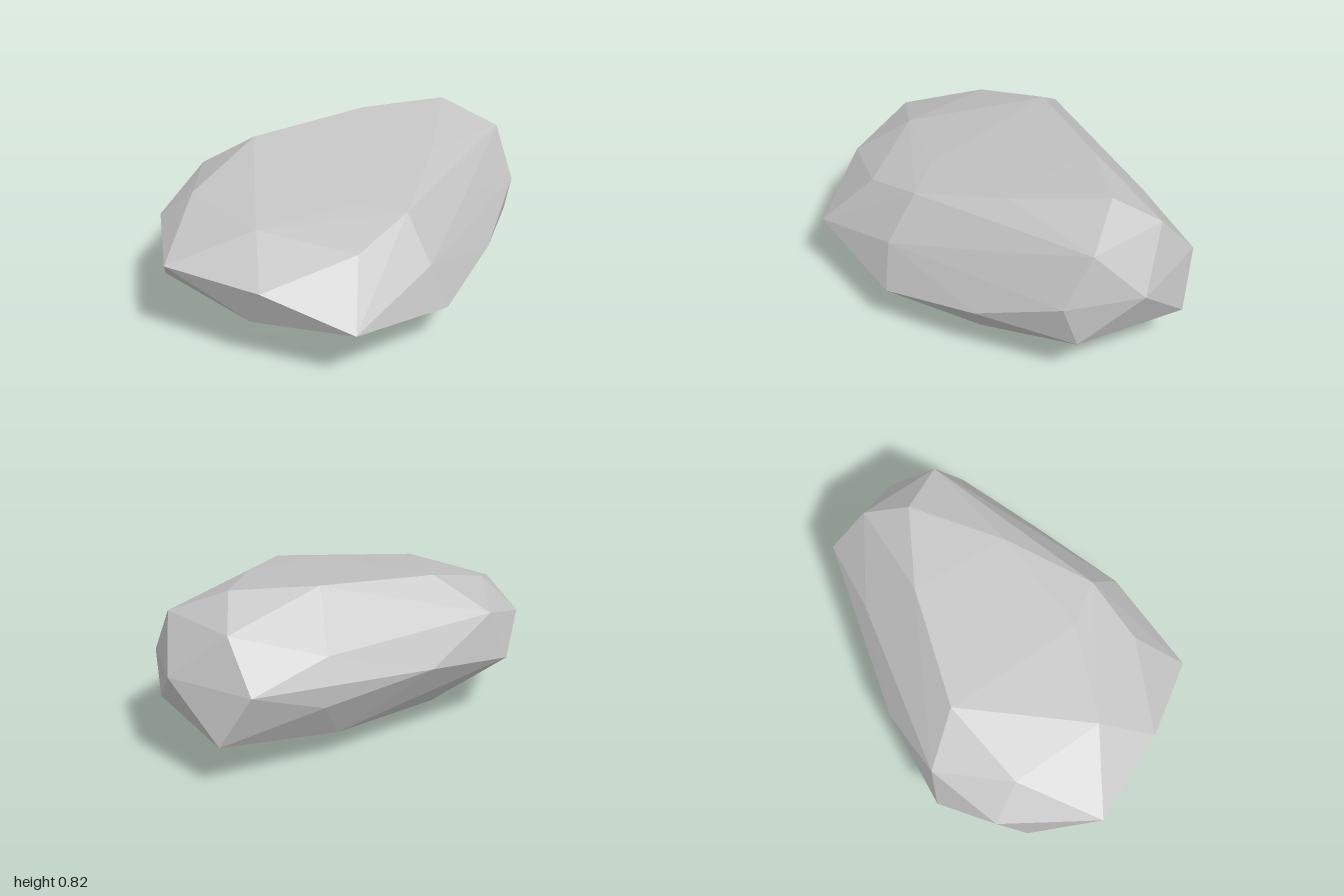
import * as THREE from 'three';
import { ConvexGeometry } from 'three/addons/geometries/ConvexGeometry.js';

// Faceted boulder: corner points grouped in tiers, wrapped in a convex skin.
const crown = [
  [0.69, 0.82, -0.13], [0.32, 0.805, -0.31], [-0.25, 0.76, -0.45], [0.34, 0.745, 0.19],
  [-0.03, 0.66, 0.45], [-0.18, 0.675, 0.26], [-0.63, 0.625, 0.11], [-0.67, 0.63, -0.36],
  [0.86, 0.70, 0.10], [0.83, 0.70, -0.31],
];
const shoulder = [
  [-0.35, 0.575, 0.495], [0.42, 0.57, 0.36], [0.45, 0.57, -0.525], [-0.42, 0.59, -0.66],
  [-0.02, 0.45, 0.61], [0.845, 0.46, 0.245], [1.0, 0.48, -0.09], [0.85, 0.48, -0.50],
  [-0.04, 0.42, -0.68], [-0.76, 0.475, -0.52], [-1.0, 0.48, -0.09], [-0.78, 0.46, 0.34],
];
const waist = [
  [-0.52, 0.32, 0.695], [0.04, 0.23, 0.67], [0.48, 0.30, 0.47], [0.87, 0.25, 0.18],
  [0.94, 0.23, -0.38], [0.50, 0.35, -0.56], [-0.03, 0.28, -0.585], [-0.51, 0.35, -0.695],
  [-0.83, 0.23, -0.39], [-0.76, 0.25, 0.23],
];
const base = [
  [0.37, 0.10, 0.36], [-0.27, 0.12, 0.38], [-0.54, 0.05, -0.02], [-0.23, 0.13, -0.48],
  [0.34, 0.14, -0.46], [0.55, 0.12, -0.14], [0.05, 0.0, -0.09],
];

export function createModel() {
  const group = new THREE.Group();
  group.name = 'boulder';
  const stone = new THREE.MeshStandardMaterial({ color: 0xc3c3c3 });
  stone.name = 'light grey stone';
  const corners = [...crown, ...shoulder, ...waist, ...base].map((p) => new THREE.Vector3(...p));
  const rock = new THREE.Mesh(new ConvexGeometry(corners), stone); // flat face normals
  rock.name = 'rock';
  group.add(rock);
  return group;
}
